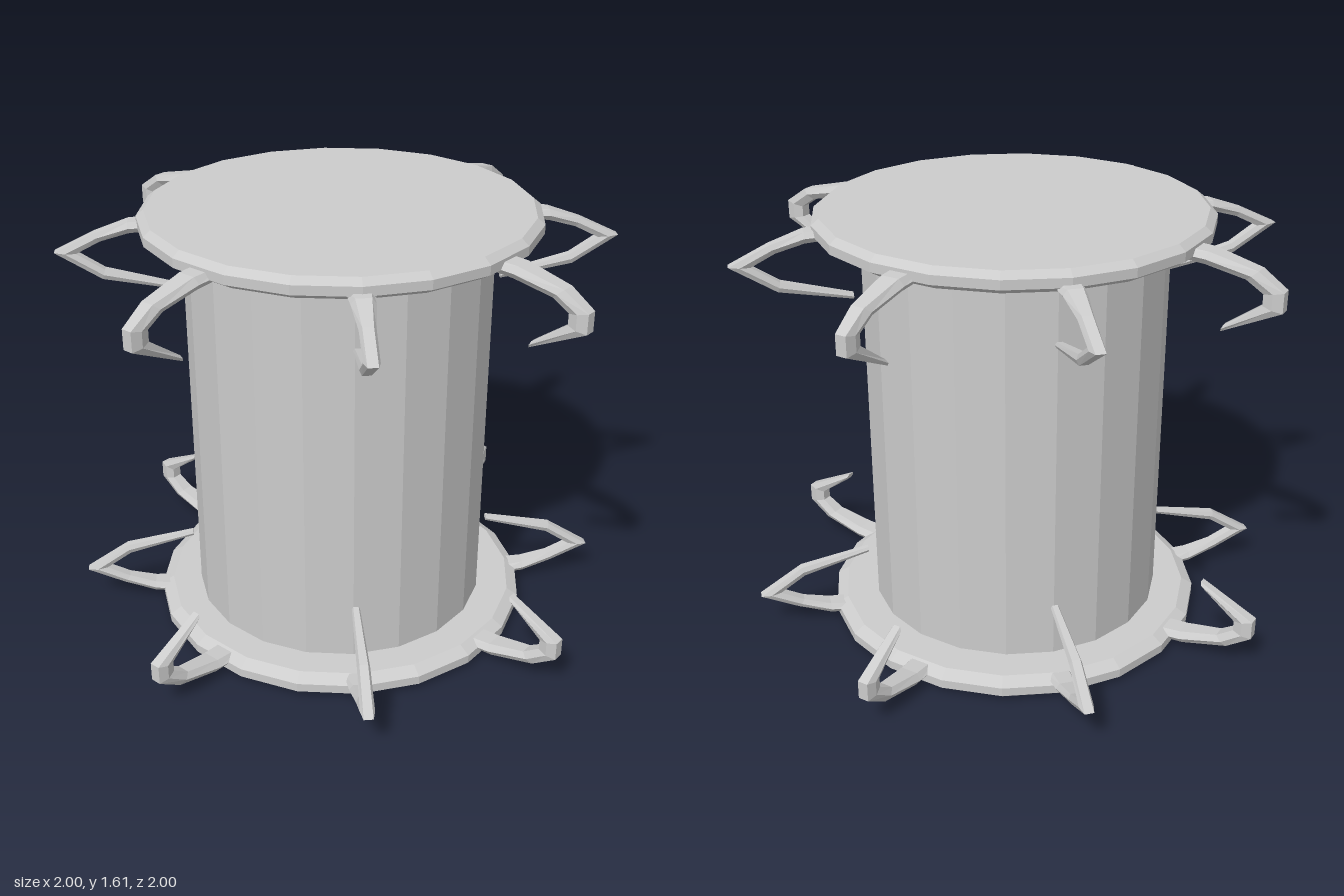
import * as THREE from 'three';

const material = new THREE.MeshStandardMaterial({ color: 0xcccccc, flatShading: true });
const HEIGHT = 1.61;

// Claw stations: outer radius, outer y, inner radius, inner y, half width
const POINTED = [
  [0.64, 1.58, 0.64, 1.545, 0.05],
  [0.74, 1.575, 0.74, 1.535, 0.04],
  [0.86, 1.535, 0.84, 1.505, 0.027],
  [1.0, 1.468, 0.925, 1.462, 0.026],
  [0.84, 1.365, 0.83, 1.4, 0.023],
  [0.58, 1.315, 0.58, 1.335, 0.015],
];
const BLUNT = [
  [0.62, 1.58, 0.62, 1.54, 0.055],
  [0.75, 1.575, 0.74, 1.53, 0.05],
  [0.92, 1.535, 0.88, 1.5, 0.037],
  [1.01, 1.475, 0.94, 1.46, 0.03],
  [1.01, 1.405, 0.94, 1.42, 0.03],
  [0.8, 1.3, 0.81, 1.325, 0.02],
];

// Lofts a six-sided section through the stations, reaching out along +z
function clawGeometry(stations) {
  const positions = [];
  const index = [];
  const n = 6;
  // side factor and blend from inner (0) to outer (1)
  const section = [[1, 0.5], [0.65, 1], [-0.65, 1], [-1, 0.5], [-0.65, 0], [0.65, 0]];
  for (const [ro, yo, ri, yi, w] of stations) {
    for (const [side, t] of section) {
      positions.push(side * w, yi + (yo - yi) * t, ri + (ro - ri) * t);
    }
  }
  const last = (stations.length - 1) * n;
  for (let i = 0; i < last; i += n) {
    for (let k = 0; k < n; k++) {
      const a = i + k, b = i + (k + 1) % n;
      index.push(a, b, a + n, b, b + n, a + n);
    }
  }
  // end caps
  for (let k = 1; k < n - 1; k++) {
    index.push(0, k + 1, k, last, last + k, last + k + 1);
  }
  const geometry = new THREE.BufferGeometry();
  geometry.setAttribute('position', new THREE.Float32BufferAttribute(positions, 3));
  geometry.setIndex(index);
  geometry.computeVertexNormals();
  return geometry;
}

// Bevelled plate with its ring of eight claws, at the top of the model
function createEnd(name) {
  const end = new THREE.Group();
  end.name = name;

  const profile = [[0, 1.53], [0.67, 1.53], [0.712, 1.555], [0.712, 1.588], [0.685, HEIGHT], [0, HEIGHT]]
    .map(([r, y]) => new THREE.Vector2(r, y));
  const plate = new THREE.Mesh(new THREE.LatheGeometry(profile, 20), material);
  plate.name = 'plate';
  end.add(plate);

  const pointed = clawGeometry(POINTED);
  const blunt = clawGeometry(BLUNT);
  for (let i = 0; i < 8; i++) {
    const claw = new THREE.Mesh(i % 2 ? blunt : pointed, material);
    claw.name = i % 2 ? 'bluntClaw' : 'pointedClaw';
    claw.rotation.y = i * Math.PI / 4;
    // front and back claws hang slightly lower
    if (i % 4 === 0) claw.position.y = -0.012;
    end.add(claw);
  }
  return end;
}

export function createModel() {
  const model = new THREE.Group();
  model.name = 'clawedDrum';

  // Central drum
  const drum = new THREE.Mesh(new THREE.CylinderGeometry(0.553, 0.553, 1.48, 20, 1, true), material);
  drum.name = 'drum';
  drum.position.set(-0.006, HEIGHT / 2, 0.006);
  model.add(drum);

  // Top end, and the same end turned over for the bottom
  model.add(createEnd('topEnd'));
  const bottom = createEnd('bottomEnd');
  bottom.rotation.x = Math.PI;
  bottom.position.y = HEIGHT;
  model.add(bottom);

  return model;
}
